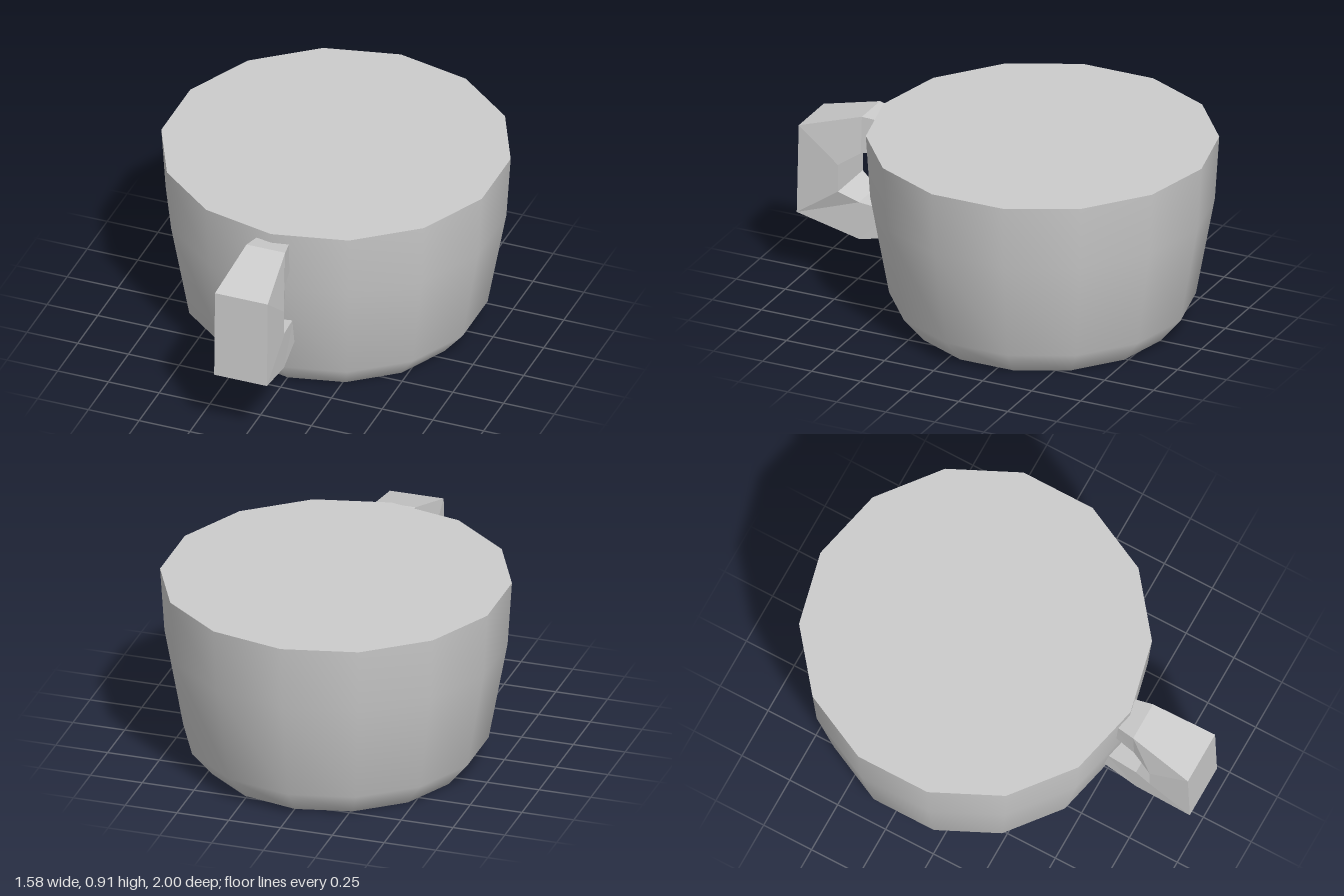
import * as THREE from 'three';

const SIDES = 14, CUP_Z = -0.19;
const grey = (options = {}) => new THREE.MeshStandardMaterial({ color: 0xcccccc, ...options });

function addMesh(parent, name, geometry, material) {
  const mesh = new THREE.Mesh(geometry, material);
  mesh.name = name;
  parent.add(mesh);
  return mesh;
}

// Flat-faced bar swept through sections: [outer z, outer y, inner z, inner y, half width]
function sweptBar(sections) {
  const rings = sections.map(([oz, oy, iz, iy, w]) => [[w, oy, oz], [-w, oy, oz], [-w, iy, iz], [w, iy, iz]]);
  const positions = [];
  const quad = (a, b, c, d) => positions.push(...a, ...b, ...c, ...a, ...c, ...d);
  for (let i = 0; i < rings.length - 1; i++) {
    const a = rings[i], b = rings[i + 1];
    quad(a[0], a[1], b[1], b[0]); // outer
    quad(a[1], a[2], b[2], b[1]); // left and right sides, split alike
    quad(a[0], b[0], b[3], a[3]);
    quad(a[2], a[3], b[3], b[2]); // inner
  }
  const [first, last] = [rings[0], rings[rings.length - 1]];
  quad(first[3], first[2], first[1], first[0]);
  quad(last[0], last[1], last[2], last[3]);
  const geometry = new THREE.BufferGeometry();
  geometry.setAttribute('position', new THREE.Float32BufferAttribute(positions, 3));
  geometry.computeVertexNormals();
  return geometry;
}

export function createModel() {
  const model = new THREE.Group();
  model.name = 'cup';

  // Smooth-shaded wall, with a corner pointing at the handle
  const body = new THREE.Group();
  body.name = 'body';
  body.position.z = CUP_Z;
  model.add(body);
  const profile = [[0.602, 0], [0.703, 0.12], [0.79, 0.6], [0.81, 0.91]].map(p => new THREE.Vector2(...p));
  addMesh(body, 'wall', new THREE.LatheGeometry(profile, SIDES), grey());

  // Flat top and base
  const disc = r => new THREE.CircleGeometry(r, SIDES, Math.PI / 2);
  const top = addMesh(body, 'top', disc(0.81), grey());
  top.rotation.x = -Math.PI / 2;
  top.position.y = 0.91;
  addMesh(body, 'base', disc(0.602), grey()).rotation.x = Math.PI / 2;

  // Angular handle, its ends sunk into the wall
  addMesh(model, 'handle', sweptBar([
    [0.57, 0.855, 0.57, 0.705, 0.075],
    [0.685, 0.87, 0.69, 0.685, 0.095],
    [0.99, 0.78, 0.79, 0.62, 0.13],
    [1.0, 0.34, 0.79, 0.485, 0.13],
    [0.70, 0.25, 0.70, 0.435, 0.095],
    [0.50, 0.285, 0.53, 0.41, 0.075],
  ]), grey({ flatShading: true }));

  return model;
}
